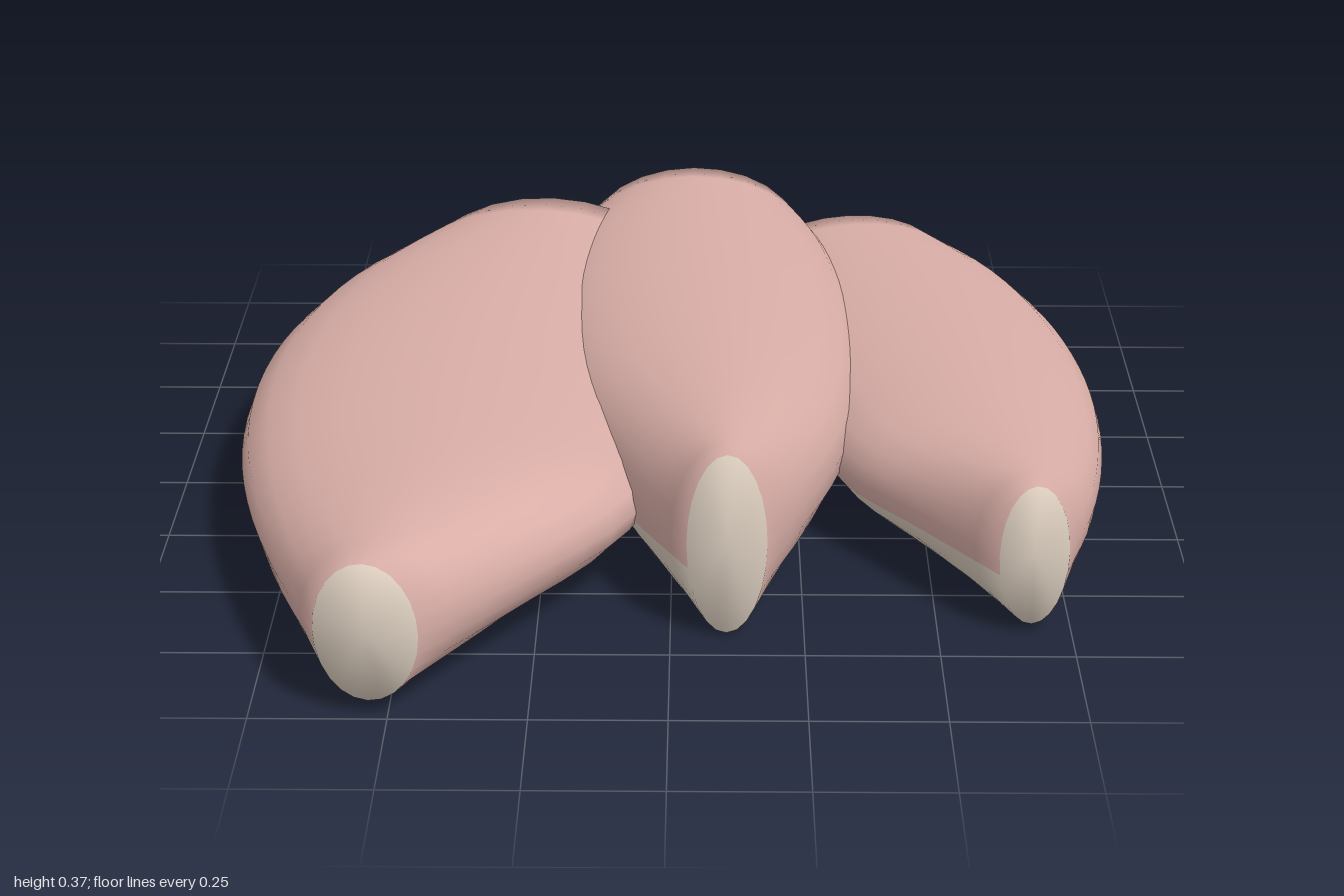
import * as THREE from 'three';

const SIDES = 24, STEPS = 24;

// Each fillet: matching left / right outline points [x, z] from narrow front to broad back,
// plus [bottom, top] heights at the front and back ends.
const FILLETS = [
  {
    name: 'largeFillet',
    left: [[-0.63, 0.97], [-0.73, 0.72], [-0.81, 0.45], [-0.855, 0.18], [-0.86, -0.1], [-0.82, -0.36], [-0.73, -0.6], [-0.555, -0.855]],
    right: [[-0.44, 0.995], [-0.25, 0.75], [-0.07, 0.49], [-0.02, 0.24], [0.0, -0.02], [0.02, -0.27], [0.02, -0.52], [0.0, -0.782]],
    front: [0.033, 0.303], back: [0.005, 0.333],
  },
  {
    name: 'middleFillet',
    left: [[0.03, 0.668], [-0.07, 0.48], [-0.16, 0.25], [-0.235, 0.02], [-0.285, -0.24], [-0.305, -0.5], [-0.28, -0.76], [-0.2, -0.985]],
    right: [[0.18, 0.663], [0.265, 0.46], [0.335, 0.25], [0.378, 0.01], [0.394, -0.25], [0.386, -0.51], [0.345, -0.77], [0.272, -1.0]],
    front: [0.008, 0.372], back: [0.038, 0.345],
  },
  {
    name: 'smallFillet',
    left: [[0.61, 0.655], [0.47, 0.46], [0.335, 0.27], [0.27, 0.04], [0.225, -0.19], [0.195, -0.42], [0.18, -0.65], [0.18, -0.872]],
    right: [[0.742, 0.638], [0.805, 0.45], [0.845, 0.23], [0.86, 0.0], [0.846, -0.24], [0.8, -0.49], [0.715, -0.73], [0.59, -0.938]],
    front: [0.02, 0.303], back: [0.06, 0.262],
  },
];

const curve = (points) => new THREE.CatmullRomCurve3(points.map(([x, z]) => new THREE.Vector3(x, 0, z)));

// Elliptical sections lofted between the two outlines, closed at both ends
function filletGeometry({ left, right, front, back }) {
  const leftEdge = curve(left), rightEdge = curve(right);
  const positions = [], meat = [], pale = [];

  for (let i = 0; i <= STEPS; i++) {
    const t = i / STEPS;
    const a = leftEdge.getPoint(t), b = rightEdge.getPoint(t);
    const bottom = THREE.MathUtils.lerp(front[0], back[0], t);
    const top = THREE.MathUtils.lerp(front[1], back[1], t);
    for (let j = 0; j < SIDES; j++) {
      const angle = (j / SIDES) * Math.PI * 2;
      const p = a.clone().lerp(b, 0.5 + 0.5 * Math.cos(angle));
      positions.push(p.x, (bottom + top) / 2 + ((top - bottom) / 2) * Math.sin(angle), p.z);
    }
  }

  // Skin: the pale strip runs along the lower left and underside
  for (let i = 0; i < STEPS; i++) {
    for (let j = 0; j < SIDES; j++) {
      const k = (j + 1) % SIDES;
      const p = i * SIDES + j, q = i * SIDES + k;
      const target = j >= 13 && j < 19 ? pale : meat;
      target.push(p, p + SIDES, q, q, p + SIDES, q + SIDES);
    }
  }

  // Pale cut at the front, meat colour at the back
  const addCap = (row, target, facesFront) => {
    const a = leftEdge.getPoint(row / STEPS), b = rightEdge.getPoint(row / STEPS);
    const ends = row === 0 ? front : back;
    const centre = positions.length / 3;
    positions.push((a.x + b.x) / 2, (ends[0] + ends[1]) / 2, (a.z + b.z) / 2);
    for (let j = 0; j < SIDES; j++) {
      const p = row * SIDES + j, q = row * SIDES + ((j + 1) % SIDES);
      if (facesFront) target.push(centre, p, q);
      else target.push(centre, q, p);
    }
  };
  addCap(0, pale, true);
  addCap(STEPS, meat, false);

  const geometry = new THREE.BufferGeometry();
  geometry.setAttribute('position', new THREE.Float32BufferAttribute(positions, 3));
  geometry.setIndex([...meat, ...pale]);
  geometry.addGroup(0, meat.length, 0);
  geometry.addGroup(meat.length, pale.length, 1);
  geometry.computeVertexNormals();
  return geometry;
}

export function createModel() {
  const group = new THREE.Group();
  group.name = 'meatFillets';
  const pink = new THREE.MeshStandardMaterial({ color: 0xd9aea7 });
  pink.name = 'pink meat';
  const cream = new THREE.MeshStandardMaterial({ color: 0xddcfc0 });
  cream.name = 'pale cream';

  for (const fillet of FILLETS) {
    const mesh = new THREE.Mesh(filletGeometry(fillet), [pink, cream]);
    mesh.name = fillet.name;
    group.add(mesh);
  }
  return group;
}
